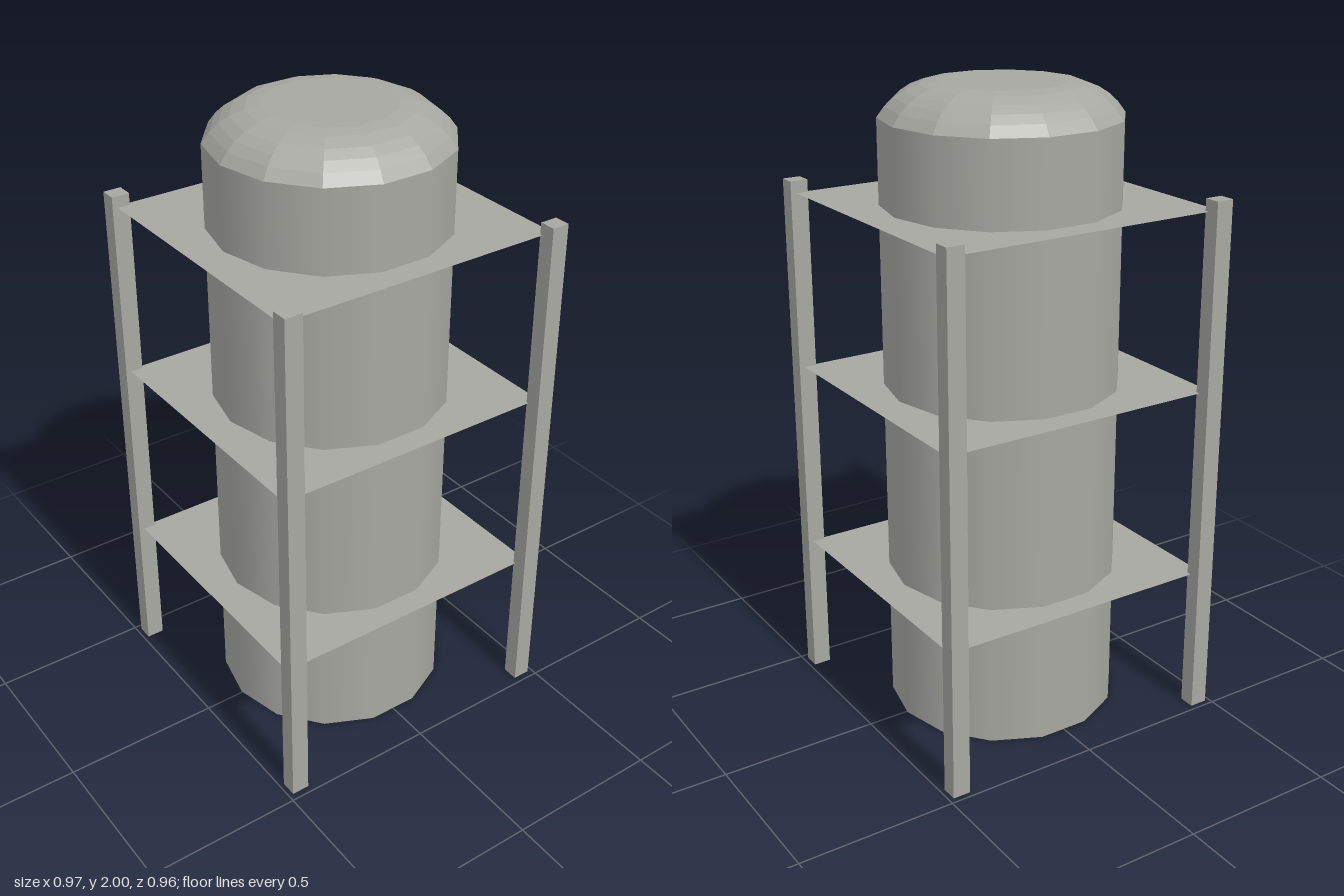
import * as THREE from 'three';

const SIDES = 14;

export function createModel() {
  const group = new THREE.Group();
  const concrete = new THREE.MeshStandardMaterial({ color: 0xa8a8a2, side: THREE.DoubleSide });
  concrete.name = 'concreteGrey';

  function add(name, geometry, x, y, z) {
    const mesh = new THREE.Mesh(geometry, concrete);
    mesh.name = name;
    mesh.position.set(x, y, z);
    group.add(mesh);
    return mesh;
  }

  // Smooth tank wall, open underneath
  const wall = new THREE.CylinderGeometry(0.367, 0.367, 1.9, SIDES, 1, true);
  wall.rotateY(Math.PI / 2);
  add('tankWall', wall, 0, 0.95, -0.004);

  // Faceted rounded shoulder with a flat top
  const profile = [
    [0.367, 1.9], [0.343, 1.932], [0.317, 1.956], [0.286, 1.976], [0.243, 1.993], [0.196, 2], [0, 2],
  ].map(([r, y]) => new THREE.Vector2(r, y));
  const dome = new THREE.LatheGeometry(profile, SIDES).rotateY(Math.PI / 2).toNonIndexed();
  dome.computeVertexNormals();
  add('tankDome', dome, 0, 0, -0.004);

  // Thin square platforms around the tank
  for (const y of [0.465, 1.08, 1.642]) {
    const plate = new THREE.PlaneGeometry(0.934, 0.878).rotateX(-Math.PI / 2);
    add('platform', plate, 0, y, -0.005);
  }

  // Corner posts: boxes without their bottom face
  const post = new THREE.BoxGeometry(0.057, 1.68, 0.052);
  const index = Array.from(post.index.array);
  index.splice(18, 6);
  post.setIndex(index);
  post.clearGroups();
  for (const sx of [-1, 1]) {
    for (const sz of [-1, 1]) add('cornerPost', post, sx * 0.456, 0.84, sz * 0.454 - 0.002);
  }

  return group;
}
